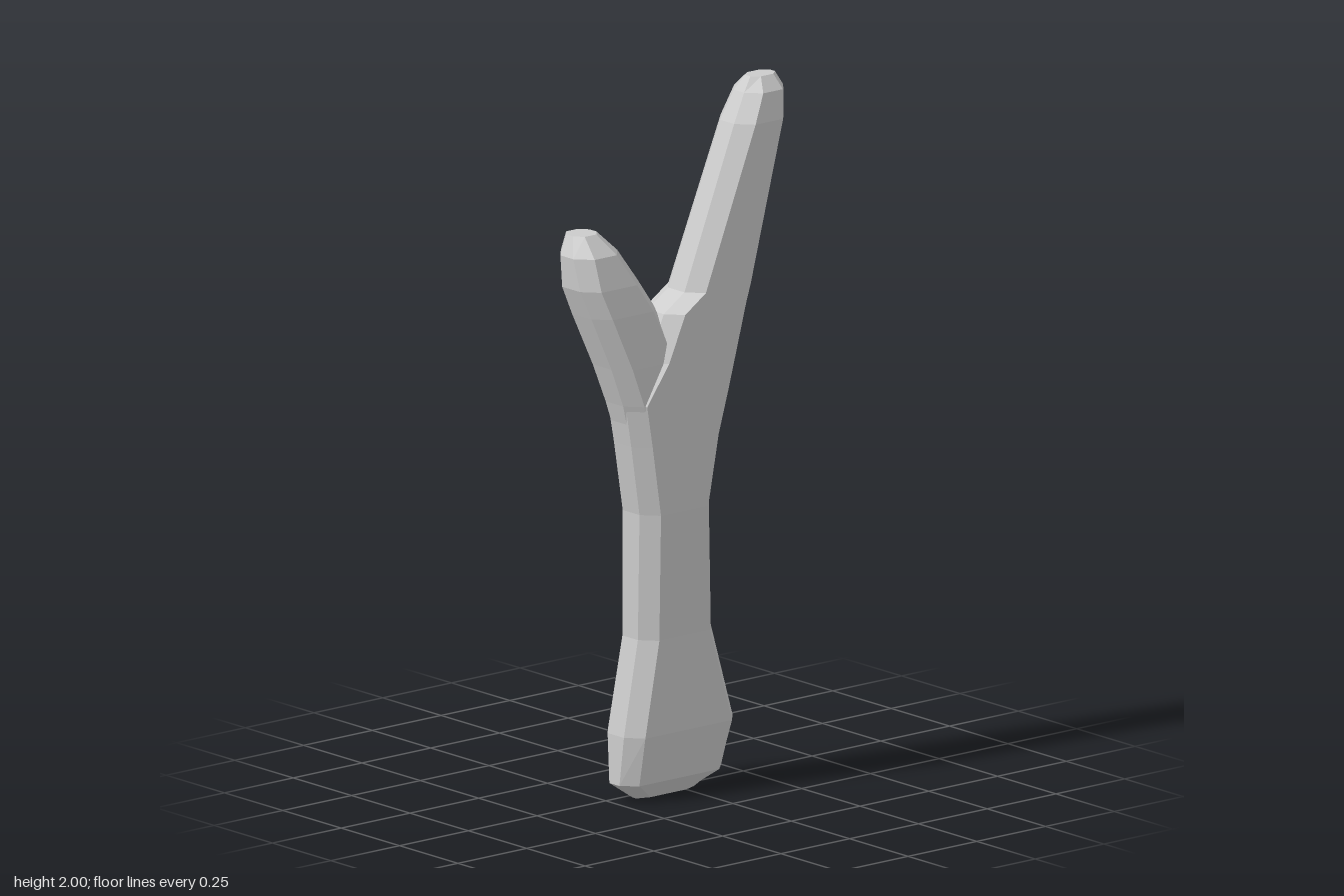
import * as THREE from 'three';

// Chamfered eight-sided ring at height y
function ring([y, xl, xr, zb, zf]) {
  const cx = Math.min(0.04, (xr - xl) * 0.25);
  const cz = Math.min(0.045, (zf - zb) * 0.32);
  return [
    [xl + cx, y, zf], [xr - cx, y, zf], [xr, y, zf - cz], [xr, y, zb + cz],
    [xr - cx, y, zb], [xl + cx, y, zb], [xl, y, zb + cz], [xl, y, zf - cz],
  ];
}

// Skin a stack of rings, closed at both ends
function loft(name, sections, material) {
  const n = 8;
  const positions = sections.flatMap((s) => ring(s).flat());
  const index = [];
  for (let i = 0; i < sections.length - 1; i++) {
    for (let j = 0; j < n; j++) {
      const a = i * n + j, b = i * n + (j + 1) % n;
      index.push(a, b, b + n, a, b + n, a + n);
    }
  }
  const top = (sections.length - 1) * n;
  for (let j = 1; j < n - 1; j++) {
    index.push(0, j + 1, j);
    index.push(top, top + j, top + j + 1);
  }
  const geometry = new THREE.BufferGeometry();
  geometry.setAttribute('position', new THREE.Float32BufferAttribute(positions, 3));
  geometry.setIndex(index);
  geometry.computeVertexNormals();
  const mesh = new THREE.Mesh(geometry, material);
  mesh.name = name;
  return mesh;
}

export function createModel() {
  const group = new THREE.Group();
  group.name = 'forkedStick';
  const material = new THREE.MeshStandardMaterial({ color: 0xcccccc, flatShading: true });

  // Each section: height, left x, right x, back z, front z
  // Flared foot, narrow waist and the long branch
  group.add(loft('trunkAndLongBranch', [
    [0, -0.17, 0.04, 0.005, 0.05],
    [0.05, -0.24, 0.13, -0.035, 0.085],
    [0.19, -0.235, 0.16, -0.055, 0.105],
    [0.46, -0.18, 0.085, -0.055, 0.1],
    [0.82, -0.18, 0.072, -0.055, 0.107],
    [1.02, -0.21, 0.11, -0.057, 0.107],
    [1.14, -0.23, 0.145, -0.06, 0.107],
    [1.25, -0.15, 0.175, -0.06, 0.107],
    [1.38, -0.09, 0.212, -0.055, 0.105],
    [1.43, -0.015, 0.228, -0.055, 0.105],
    [1.88, 0.17, 0.35, -0.05, 0.1],
    [1.96, 0.215, 0.357, -0.04, 0.085],
    [2, 0.245, 0.335, -0.005, 0.055],
  ], material));

  // Short branch leaning to the back
  group.add(loft('shortBranch', [
    [0.9, -0.17, -0.03, -0.03, 0.08],
    [1.14, -0.236, 0.01, -0.062, 0.103],
    [1.25, -0.272, -0.04, -0.075, 0.095],
    [1.4, -0.328, -0.1, -0.098, 0.075],
    [1.48, -0.356, -0.147, -0.107, 0.06],
    [1.57, -0.36, -0.2, -0.11, 0.035],
    [1.625, -0.335, -0.25, -0.095, -0.015],
  ], material));

  return group;
}
